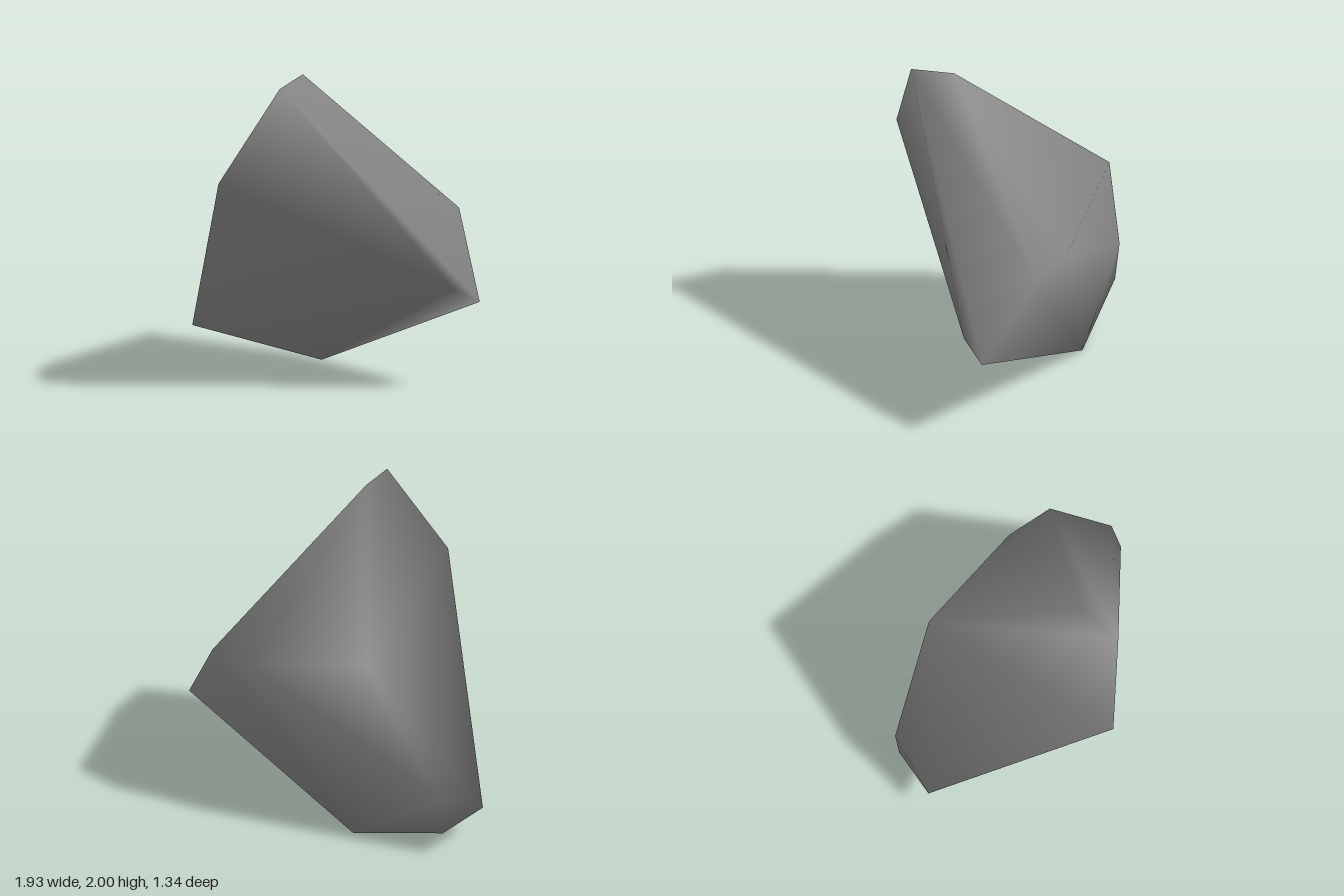
import * as THREE from 'three';
import { ConvexGeometry } from 'three/addons/geometries/ConvexGeometry.js';
import { mergeVertices } from 'three/addons/utils/BufferGeometryUtils.js';

// Corners of the boulder
const corners = [
  [-0.06, 2.0, 0.245],   // peak
  [-0.115, 1.97, 0.52],  // front of peak
  [-0.46, 1.38, 0.665],  // front overhang
  [-0.97, 0.2, -0.34],   // low right tip
  [-0.2, 0.0, -0.525],   // foot
  [0.965, 0.57, -0.09],  // left tip
  [0.84, 0.67, 0.04],    // left front shoulder
  [0.73, 1.07, -0.39],   // left back shoulder
  [0.46, 1.08, -0.53],   // back ridge
  [-0.33, 1.285, -0.67], // back crest
  [-0.8, 0.41, -0.657],  // back right, upper
  [-0.8, 0.155, -0.63],  // back right, lower
];

export function createModel() {
  const group = new THREE.Group();
  group.name = 'boulder';

  const stoneGrey = new THREE.MeshStandardMaterial({ color: 0x8c8c8c });
  stoneGrey.name = 'stone grey';

  // Convex stone with shared corners, so the shading runs smoothly over the edges
  const hull = new ConvexGeometry(corners.map((c) => new THREE.Vector3(...c)));
  hull.deleteAttribute('normal');
  const geometry = mergeVertices(hull);
  geometry.computeVertexNormals();

  const rock = new THREE.Mesh(geometry, stoneGrey);
  rock.name = 'rock';
  group.add(rock);
  return group;
}
